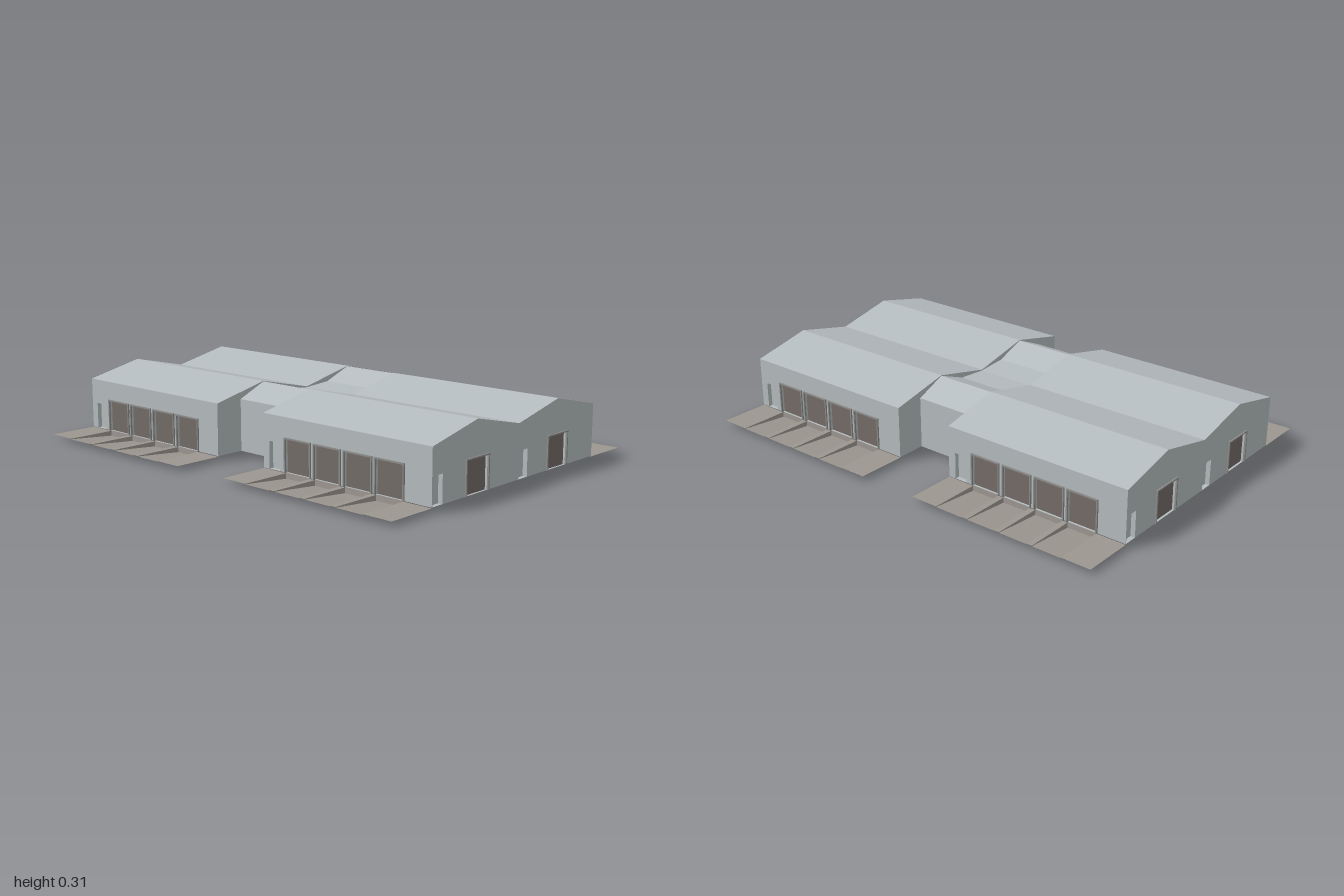
import * as THREE from 'three';

const material = (name, color) => {
  const m = new THREE.MeshStandardMaterial({ color, side: THREE.DoubleSide });
  m.name = name;
  return m;
};

const BASE = 0.025, EAVE = 0.25, RIDGE = 0.31;
const DEPTH = 0.535, INNER = 0.1375, YARD = 0.757, LINK = 0.403;
const DOCKS = [0.33, 0.488, 0.646, 0.802];   // dock door centres, mirrored in x
const DOCK_W = 0.132;

// Double-gabled hall section and the steeper section of the link, as [z, y]
const hallProfile = [[-DEPTH, EAVE], [-0.268, RIDGE], [0, EAVE], [0.268, RIDGE], [DEPTH, EAVE]];
const linkProfile = [[-LINK, EAVE], [-0.268, 0.308], [-0.134, 0.256], [0, 0.246],
  [0.134, 0.256], [0.268, 0.308], [LINK, EAVE]];

export function createModel() {
  const cladding = material('pale grey cladding', 0xb4bbbe);
  const paving = material('warm grey paving', 0x9c9690);
  const doorBrown = material('brown dock door', 0x736b67);
  const trim = material('grey door trim', 0x8c8c8a);

  const add = (parent, name, geometry, mat, x = 0, y = 0, z = 0) => {
    const mesh = new THREE.Mesh(geometry, mat);
    mesh.name = name;
    mesh.position.set(x, y, z);
    parent.add(mesh);
    return mesh;
  };

  // Flat four-cornered panels, each given as corners in counter-clockwise order
  const panels = (quads) => {
    const g = new THREE.BufferGeometry();
    const p = quads.flatMap(([a, b, c, d]) => [a, b, c, a, c, d].flat());
    g.setAttribute('position', new THREE.Float32BufferAttribute(p, 3));
    g.computeVertexNormals();
    return g;
  };

  // Folded roof sheet following a [z, y] section
  const roof = (profile, x0, x1) => panels(profile.slice(1).map(([z1, y1], i) => {
    const [z0, y0] = profile[i];
    return [[x0, y0, z0], [x0, y1, z1], [x1, y1, z1], [x1, y0, z0]];
  }));

  // A doorway: reveal running inwards, door leaf, and trim around dock doors
  const doorway = (wall, { u, w, top, dock }) => {
    const g = new THREE.Group();
    g.name = dock ? 'dockDoor' : 'staffDoor';
    g.position.set(u, BASE, 0);
    wall.add(g);
    const h = top - BASE, r = w / 2, d = dock ? -0.01 : -0.02;
    add(g, 'doorReveal', panels([
      [[-r, 0, 0], [-r, 0, d], [-r, h, d], [-r, h, 0]],
      [[r, 0, d], [r, 0, 0], [r, h, 0], [r, h, d]],
      [[-r, h, d], [r, h, d], [r, h, 0], [-r, h, 0]],
      [[-r, 0, 0], [r, 0, 0], [r, 0, d], [-r, 0, d]],
    ]), cladding);
    add(g, 'doorLeaf', new THREE.PlaneGeometry(w, h), dock ? doorBrown : cladding, 0, h / 2, d);
    if (!dock) return;
    for (const s of [-1, 1]) {
      add(g, 'doorTrim', new THREE.BoxGeometry(0.006, h, 0.008), trim, s * (r + 0.003), h / 2, 0.003);
    }
    add(g, 'doorTrim', new THREE.BoxGeometry(w + 0.012, 0.006, 0.008), trim, 0, h + 0.003, 0.003);
  };

  // Wall sheet with doorways cut out of it
  const wallSheet = (parent, name, outline, doors) => {
    const wall = new THREE.Group();
    wall.name = name;
    parent.add(wall);
    const shape = new THREE.Shape(outline.map(([u, y]) => new THREE.Vector2(u, y)));
    for (const { u, w, top } of doors) {
      const l = u - w / 2, r = u + w / 2, b = BASE + 0.0005;
      shape.holes.push(new THREE.Path([[l, b], [l, top], [r, top], [r, b]]
        .map((p) => new THREE.Vector2(...p))));
    }
    add(wall, name + 'Sheet', new THREE.ShapeGeometry(shape), cladding);
    doors.forEach((door) => doorway(wall, door));
    return wall;
  };
  const dockDoor = (u) => ({ u, w: DOCK_W, top: 0.162, dock: true });
  const staffDoor = (u) => ({ u, w: 0.058, top: 0.14, dock: false });

  // Loading yard: level strips with ramps sinking towards each dock
  const yard = (parent, side) => {
    const level = [], ramps = [], cheeks = [];
    const hi = 0.0225, r = DOCK_W / 2;
    const strip = (x0, x1) => level.push([[x0, hi, DEPTH], [x0, hi, YARD], [x1, hi, YARD], [x1, hi, DEPTH]]);
    const centres = DOCKS.map((c) => c * side).sort((a, b) => a - b);
    let from = side > 0 ? INNER : -1;
    for (const c of centres) {
      const a = c - r, b = c + r;
      strip(from, a);
      ramps.push([[a, 0, DEPTH], [a, 0.02, YARD], [b, 0.02, YARD], [b, 0, DEPTH]]);
      for (const x of [a, b]) {
        cheeks.push([[x, 0, DEPTH], [x, 0.02, YARD], [x, hi, YARD], [x, hi, DEPTH]]);
      }
      cheeks.push([[a, 0, DEPTH], [b, 0, DEPTH], [b, BASE, DEPTH], [a, BASE, DEPTH]]);
      from = b;
    }
    strip(from, side > 0 ? 1 : -INNER);
    add(parent, 'yardPaving', panels(level), paving);
    add(parent, 'dockRamps', panels(ramps), paving);
    add(parent, 'dockPitWalls', panels(cheeks), paving);
  };

  // One half: front face of both halls plus the right hall's roof and ends
  const half = (name) => {
    const g = new THREE.Group();
    g.name = name;
    for (const side of [-1, 1]) {
      const [x0, x1] = side > 0 ? [INNER, 1] : [-1, -INNER];
      const doors = DOCKS.map((c) => dockDoor(c * side));
      doors.push(staffDoor(side > 0 ? 0.2 : -0.935));
      wallSheet(g, 'dockWall', [[x0, BASE], [x1, BASE], [x1, EAVE], [x0, EAVE]], doors)
        .position.z = DEPTH;
      yard(g, side);
    }
    const gable = wallSheet(g, 'gableWall',
      [[-DEPTH, BASE], [DEPTH, BASE], ...[...hallProfile].reverse()],
      [dockDoor(-0.268), dockDoor(0.268), staffDoor(-0.503), staffDoor(0.033)]);
    gable.rotation.y = Math.PI / 2;
    gable.position.x = 1;

    // Inner end wall, left open where the link joins the hall
    const inner = wallSheet(g, 'innerWall', [[-DEPTH, BASE], [-LINK, BASE], ...linkProfile,
      [LINK, BASE], [DEPTH, BASE], ...[...hallProfile].reverse()], []);
    inner.rotation.y = -Math.PI / 2;
    inner.position.x = INNER;

    add(g, 'hallRoof', roof(hallProfile, INNER, 1), cladding);
    add(g, 'linkWall', new THREE.PlaneGeometry(2 * INNER, EAVE - BASE), cladding,
      0, (EAVE + BASE) / 2, LINK);
    return g;
  };

  const model = new THREE.Group();
  model.name = 'warehouse';
  const rear = half('rearHalf');
  rear.rotation.y = Math.PI;
  model.add(half('frontHalf'), rear);
  add(model, 'linkRoof', roof(linkProfile, -INNER, INNER), cladding);
  return model;
}
